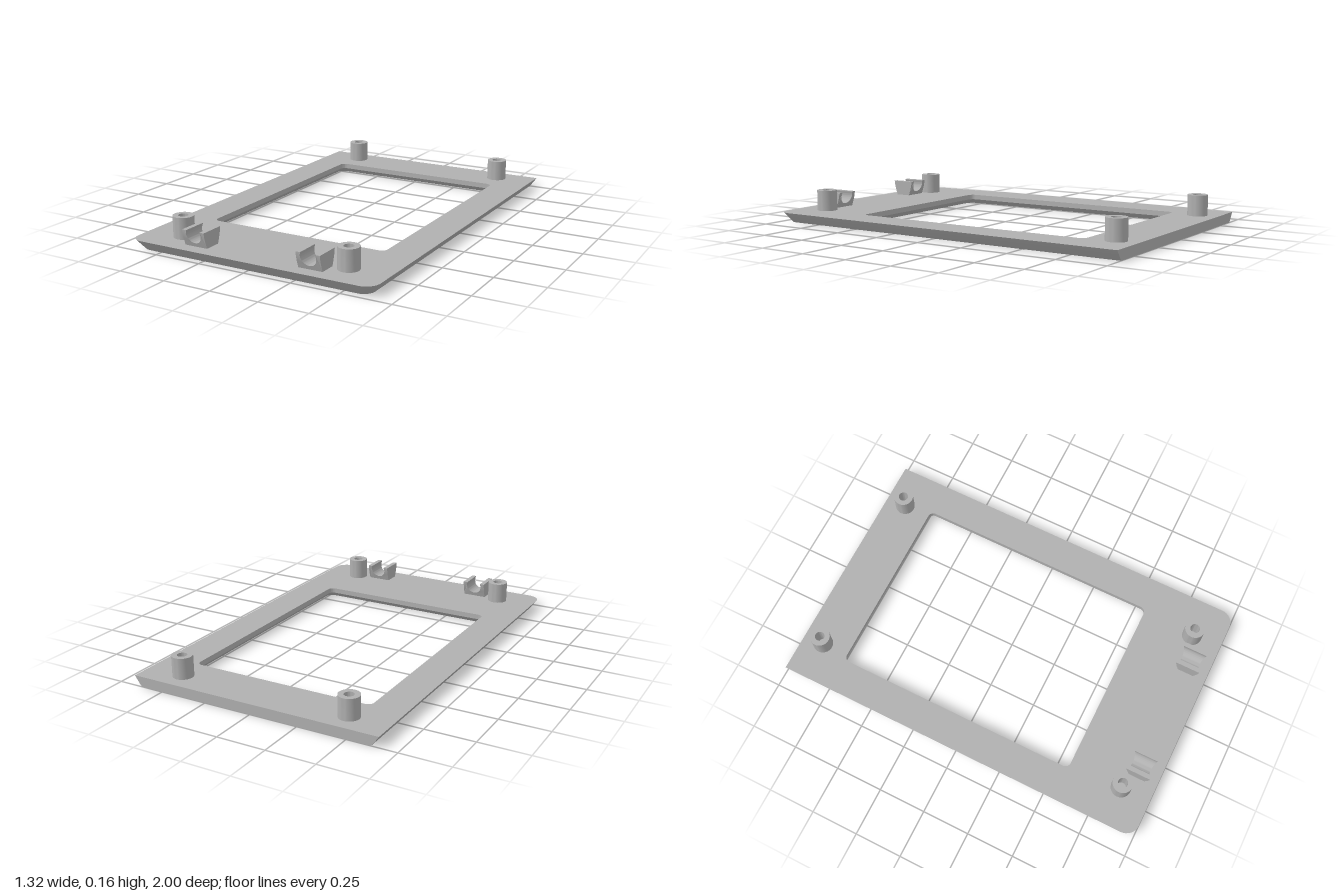
import * as THREE from 'three';
import { toCreasedNormals } from 'three/addons/utils/BufferGeometryUtils.js';

const TOP = 0.052; // plate thickness

// Rounded rectangle, counter-clockwise in (x, -z); rFront and rBack are corner radii
function outline(halfX, back, front, rBack, rFront) {
  const pts = [];
  const corner = (x, y, sx, sy, r, start) => {
    for (let i = 0; i <= 8; i++) {
      const a = start + (i / 8) * Math.PI / 2;
      pts.push(new THREE.Vector2(x - sx * r + Math.cos(a) * r, y - sy * r + Math.sin(a) * r));
    }
  };
  corner(halfX, -back, 1, 1, rBack, 0);
  corner(-halfX, -back, -1, 1, rBack, Math.PI / 2);
  corner(-halfX, -front, -1, -1, rFront, Math.PI);
  corner(halfX, -front, 1, -1, rFront, Math.PI * 1.5);
  return pts;
}

// Wall through a list of [points, height]; bottom-up faces outward, top-down faces inward
function loft(rings) {
  const pos = [], index = [], n = rings[0][0].length;
  for (const [pts, y] of rings) for (const p of pts) pos.push(p.x, y, -p.y);
  for (let r = 0; r < rings.length - 1; r++) {
    for (let i = 0; i < n; i++) {
      const a = r * n + i, b = r * n + (i + 1) % n;
      index.push(a, b, b + n, a, b + n, a + n);
    }
  }
  const g = new THREE.BufferGeometry();
  g.setAttribute('position', new THREE.Float32BufferAttribute(pos, 3));
  g.setIndex(index);
  return toCreasedNormals(g, 0.4);
}

// Flat face with a window cut out
function face(outer, inner, y, down) {
  const shape = new THREE.Shape(outer);
  shape.holes.push(new THREE.Path(inner));
  const g = new THREE.ShapeGeometry(shape).rotateX(-Math.PI / 2).translate(0, y, 0);
  if (down) {
    g.index.array.reverse();
    g.computeVertexNormals();
  }
  return g;
}

// Snap cradle: U-shaped section whose ends lean outwards towards the top
function cradleGeometry() {
  const w = 0.0625, h = 0.133, cy = 0.113, r = 0.042, lip = 0.039;
  const s = new THREE.Shape();
  s.moveTo(-w, TOP - 0.002);
  s.lineTo(w, TOP - 0.002);
  for (let i = 1; i <= 6; i++) s.lineTo(w, TOP + (h - TOP) * i / 6);
  s.lineTo(lip, h);
  const a = Math.acos(lip / r);
  s.lineTo(lip, cy + r * Math.sin(a));
  s.absarc(0, cy, r, a, Math.PI - a, true);
  s.lineTo(-lip, h);
  for (let i = 6; i >= 1; i--) s.lineTo(-w, TOP + (h - TOP) * i / 6);
  const g = new THREE.ExtrudeGeometry(s, { depth: 2, bevelEnabled: false, curveSegments: 24 }).translate(0, 0, -1);
  const p = g.attributes.position;
  for (let i = 0; i < p.count; i++) {
    const t = Math.min(1, Math.max(0, (h - p.getY(i)) / (h - TOP)));
    p.setZ(i, p.getZ(i) * (0.064 - 0.022 * Math.pow(t, 1.5)));
  }
  return toCreasedNormals(g, 0.5);
}

export function createModel() {
  const model = new THREE.Group();
  const grey = new THREE.MeshStandardMaterial({ color: 0xb0b0b0 });
  grey.name = 'grey plastic';
  const add = (name, geometry, parent = model) => {
    const m = new THREE.Mesh(geometry, grey);
    m.name = name;
    parent.add(m);
    return m;
  };

  // Bezel plate: sides and front slope inwards to the underside, back is upright
  const plate = new THREE.Group();
  plate.name = 'bezelPlate';
  model.add(plate);
  const rim = (inset) => outline(0.66 - inset, -1, 1 - inset, 0, 0.07 - inset * 0.4);
  const opening = (grow) => outline(0.485 + grow, -0.745 - grow, 0.56 + grow, 0.03 + grow * 0.5, 0.03 + grow * 0.5);
  add('outerEdge', loft([[rim(0.038), 0], [rim(0.02), 0.023], [rim(0), TOP]]), plate);
  add('windowEdge', loft([[opening(0), TOP], [opening(0), 0.025], [opening(0.025), 0]]), plate);
  add('topFace', face(rim(0), opening(0), TOP, false), plate);
  add('underside', face(rim(0.038), opening(0.025), 0, true), plate);

  // Hollow screw posts
  const profile = [[0.052, TOP - 0.002], [0.052, 0.16], [0.025, 0.16], [0.025, TOP + 0.002], [0, TOP + 0.002]]
    .map(([x, y]) => new THREE.Vector2(x, y));
  const postGeometry = toCreasedNormals(new THREE.LatheGeometry(profile, 40), 0.5);
  const cradle = cradleGeometry();
  for (const side of [-1, 1]) {
    add('backScrewPost', postGeometry).position.set(side * 0.455, 0, -0.89);
    add('frontScrewPost', postGeometry).position.set(side * 0.455, 0, 0.84);
    add('snapCradle', cradle).position.set(side * 0.3125, 0, 0.89);
  }
  return model;
}
